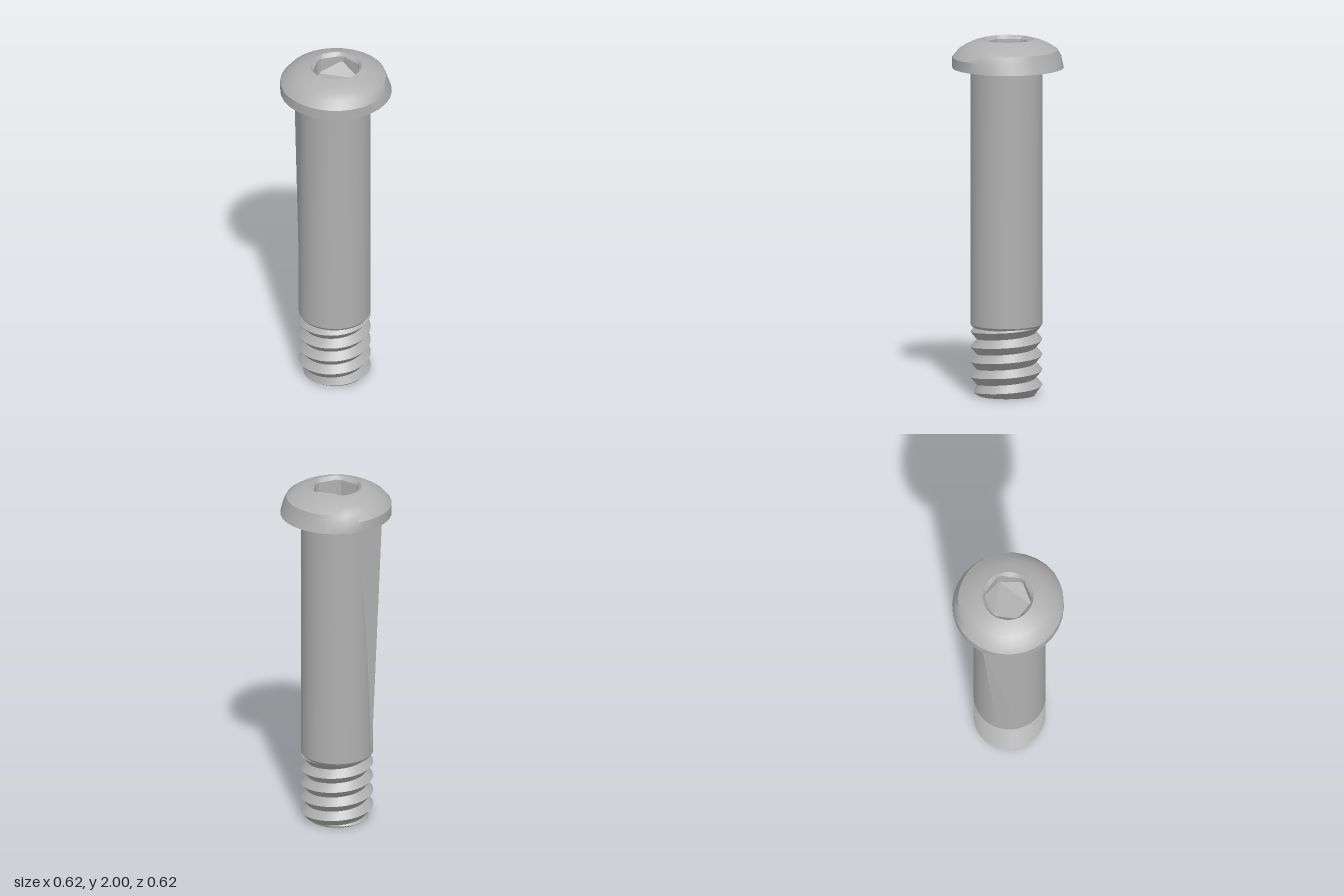
import * as THREE from 'three';
import { toCreasedNormals } from 'three/addons/utils/BufferGeometryUtils.js';
import { ConvexGeometry } from 'three/addons/geometries/ConvexGeometry.js';

const TAU = Math.PI * 2;

// Surface of rows x cols cells; f(row, angle) returns [radius, y]
function sweep(rows, cols, f, crease) {
  const pos = [], idx = [];
  for (let j = 0; j <= rows; j++) {
    for (let i = 0; i <= cols; i++) {
      const t = ((i % cols) / cols) * TAU;
      const [r, y] = f(j, i === cols ? TAU : t);
      pos.push(r * Math.cos(t), y, -r * Math.sin(t));
      if (j < rows && i < cols) {
        const a = j * (cols + 1) + i, d = a + cols + 1;
        idx.push(a, a + 1, d + 1, a, d + 1, d);
      }
    }
  }
  const g = new THREE.BufferGeometry();
  g.setAttribute('position', new THREE.Float32BufferAttribute(pos, 3));
  g.setIndex(idx);
  return toCreasedNormals(g, crease);
}

// Radius of a hexagon with corners at the front and back
function hexRadius(t, corner) {
  const side = Math.PI / 3;
  const a = (((t - Math.PI / 2) % side) + side) % side;
  return corner * Math.cos(side / 2) / Math.cos(a - side / 2);
}

export function createModel() {
  const model = new THREE.Group();
  const steel = new THREE.MeshStandardMaterial({ color: 0xb0b0b0 });
  steel.name = 'steel';
  const add = (name, geometry, x = 0, z = 0) => {
    const mesh = new THREE.Mesh(geometry, steel);
    mesh.name = name;
    mesh.position.set(x, 0, z);
    model.add(mesh);
  };

  // Domed head, its rim bevelled more on the back left
  const dome = [[0.1, 1.84], [0.31, 1.84], [0.31, 1.9], [0.277, 1.94], [0.235, 1.967], [0.19, 1.987], [0.142, 2]];
  add('head', sweep(dome.length - 1, 30, (j, t) => {
    const [r, y] = dome[j];
    return [j === 2 ? r - 0.022 * Math.max(0, Math.cos(t - Math.PI / 4)) : r, y];
  }, 0.55));

  // Hexagonal socket with a countersunk mouth
  add('socket', sweep(3, 30, (j, t) => [
    () => [0.142, 2],
    () => [hexRadius(t, 0.138), 1.98],
    () => [hexRadius(t, 0.136), 1.89],
    () => [0, 1.89],
  ][j](), 0.4));

  // Sloping facets at two corners of the socket floor
  const facets = new THREE.BufferGeometry();
  facets.setAttribute('position', new THREE.Float32BufferAttribute([
    -0.12, 1.892, -0.065, 0.116, 1.892, -0.065, 0, 1.95, -0.134,
    0, 1.892, 0.134, 0.116, 1.93, 0.066, 0.116, 1.892, -0.065,
  ], 3));
  facets.computeVertexNormals();
  add('socketFacets', facets);

  // Smooth shank with small shoulder bevel
  const shank = [[0.16, 0.385], [0.19, 0.385], [0.2, 0.4], [0.2, 1.85]];
  add('shank', sweep(3, 40, (j) => shank[j], 0.4), -0.005, 0.01);

  // Tapered sliver bridging the shank and the underside of the head
  const sliver = new ConvexGeometry([
    [-0.27, 1.86, -0.11], [-0.17, 1.86, 0.11], [-0.1, 1.86, -0.16], [-0.203, 0.4, -0.03], [-0.185, 0.4, 0.08],
  ].map((p) => new THREE.Vector3(...p)));
  add('sliver', sliver);

  // Helical thread: alternate rows run along the crest and the root
  const pitch = 0.085, low = 0.01, high = 0.39;
  add('thread', sweep(13, 36, (j, t) => {
    const y = THREE.MathUtils.clamp(0.035 + pitch * (j / 2 - 1.5 + t / TAU), low, high);
    const phase = (y - 0.035) / pitch - t / TAU;
    const offCrest = 2 * Math.abs(phase - Math.round(phase));
    return [Math.min(0.2 - 0.035 * offCrest, 0.165 + y), y];
  }, 0.6), -0.005, 0.01);

  // Flat end of the thread with a bevel
  const tip = [[0, 0], [0.16, 0], [0.174, 0.012]];
  add('tip', sweep(2, 36, (j) => tip[j], 0.4), -0.005, 0.01);

  return model;
}
